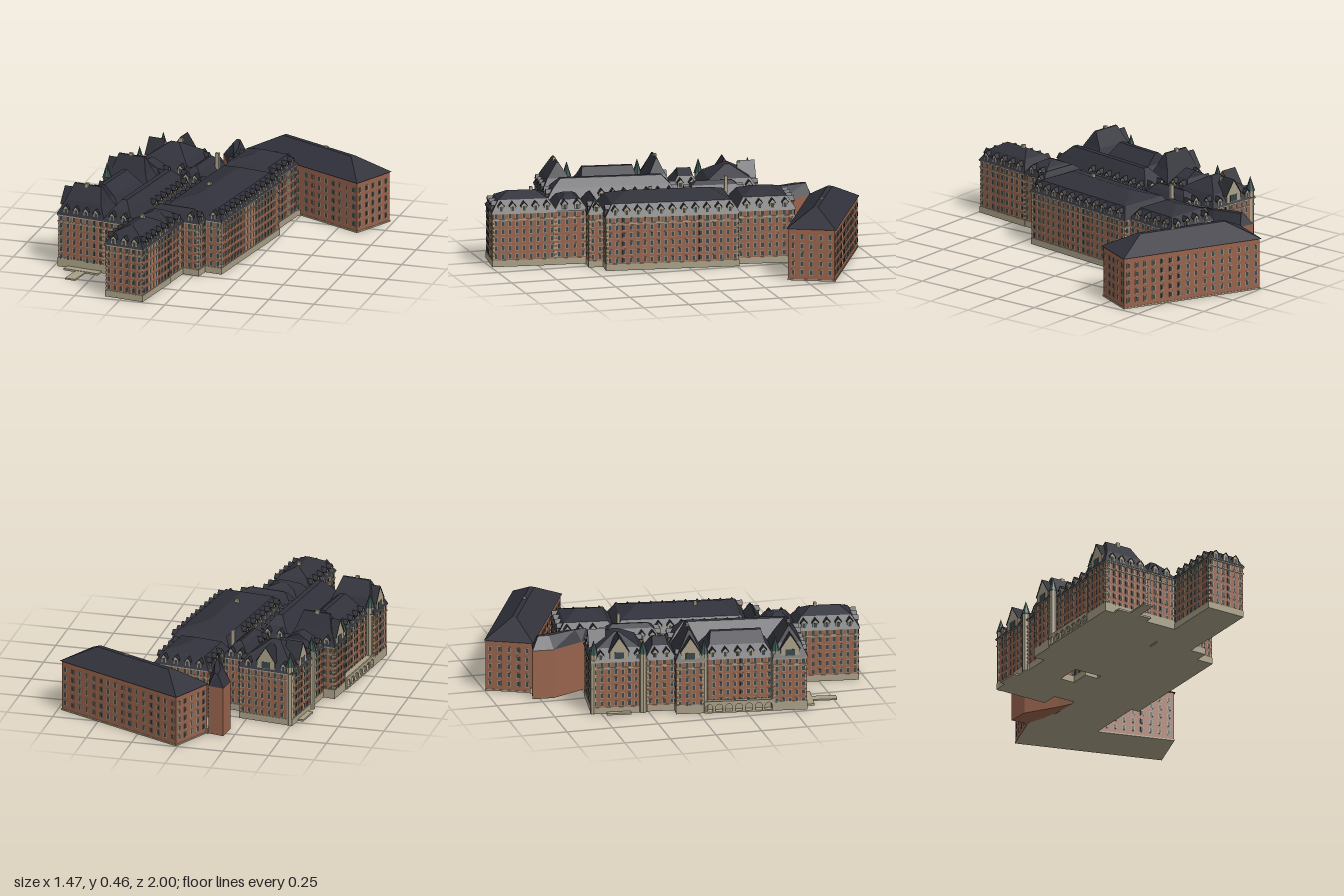
import * as THREE from 'three';
import { mergeGeometries } from 'three/addons/utils/BufferGeometryUtils.js';

const mat = (color) => new THREE.MeshStandardMaterial({ color, flatShading: true, side: THREE.DoubleSide });
const MATS = {
  walls: mat(0x97634c), stoneTrim: mat(0xa89f86), glass: mat(0x39464b), roof: mat(0x30313a),
  dormerBodies: mat(0x7c5340), dormerRoofs: mat(0x2a2b32), copper: mat(0x34504a),
};
const EAVE = 0.292;

// Collects geometries by material and merges each set into one named mesh.
class Parts {
  constructor() { this.sets = {}; }
  add(key, geo) {
    const g = geo.index ? geo.toNonIndexed() : geo;
    g.deleteAttribute('uv');
    (this.sets[key] ??= []).push(g);
  }
  build(name) {
    const group = new THREE.Group();
    group.name = name;
    for (const [key, list] of Object.entries(this.sets)) {
      const mesh = new THREE.Mesh(mergeGeometries(list), MATS[key]);
      mesh.name = key;
      group.add(mesh);
    }
    return group;
  }
}

const box = (x0, x1, y0, y1, z0, z1) =>
  new THREE.BoxGeometry(x1 - x0, y1 - y0, z1 - z0).translate((x0 + x1) / 2, (y0 + y1) / 2, (z0 + z1) / 2);

// Skin over rings of equal point count (anticlockwise from above), closed at both ends.
function loft(rings) {
  const pos = [], n = rings[0].length, top = rings.at(-1);
  const tri = (...pts) => pts.forEach((p) => pos.push(...p));
  for (let r = 0; r + 1 < rings.length; r++) {
    for (let i = 0; i < n; i++) {
      const j = (i + 1) % n, a = rings[r], b = rings[r + 1];
      tri(a[i], a[j], b[j]);
      tri(a[i], b[j], b[i]);
    }
  }
  for (let i = 1; i + 1 < n; i++) {
    tri(top[0], top[i], top[i + 1]);
    tri(rings[0][0], rings[0][i + 1], rings[0][i]);
  }
  const g = new THREE.BufferGeometry();
  g.setAttribute('position', new THREE.Float32BufferAttribute(pos, 3));
  g.computeVertexNormals();
  return g;
}

const rectRing = ([x0, x1, z0, z1], ix, iz, y) =>
  [[x0 + ix, y, z0 + iz], [x0 + ix, y, z1 - iz], [x1 - ix, y, z1 - iz], [x1 - ix, y, z0 + iz]];

// Extrudes an outline in the xy plane from z0 to z1.
function extrude(points, z0, z1) {
  const shape = new THREE.Shape(points.map((p) => new THREE.Vector2(...p)));
  return new THREE.ExtrudeGeometry(shape, { depth: z1 - z0, bevelEnabled: false }).translate(0, 0, z0);
}

// Gabled dormer facing +z, its front at z = 0.
function dormer(parts, place, s, y, w, h, peak, depth) {
  const k = w / 2, e = 0.005;
  const outline = [[-k, 0], [k, 0], [k, h], [0, peak], [-k, h]];
  const cover = [[-k - e, h - e], [0, peak - 0.001], [k + e, h - e], [k + e, h], [0, peak + e], [-k - e, h]];
  place('dormerBodies', extrude(outline, -depth, -0.002), s, y, 0);
  place('stoneTrim', extrude(outline, -0.002, 0.001), s, y, 0);
  place('dormerRoofs', extrude(cover, -depth, 0.004), s, y, 0);
  place('glass', box(-k * 0.5, k * 0.5, h * 0.25, h * 0.95, 0, 0.002), s, y, 0);
}

// One wing: walls, stone bands, windows on free sides, mansard roof and dormers.
function wing({ name, rect, top, ridge, base = 0.035, slope = [0.035, 0.355], plain = false, gables = [] }, others = []) {
  const parts = new Parts(), [x0, x1, z0, z1] = rect;
  const cx = (x0 + x1) / 2, cz = (z0 + z1) / 2, hx = (x1 - x0) / 2, hz = (z1 - z0) / 2;
  const eave = plain ? 0.28 : EAVE;
  const band = (y0, y1, o) => parts.add('stoneTrim', box(x0 - o, x1 + o, y0, y1, z0 - o, z1 + o));
  parts.add('walls', box(x0, x1, 0.001, eave, z0, z1));
  band(0, base, 0.003);
  if (!plain) {
    band(0.25, 0.256, 0.004);
    band(EAVE - 0.006, EAVE, 0.006);
  }
  const rings = [rectRing(rect, -0.008, -0.008, eave)];
  if (!plain) rings.push(rectRing(rect, slope[0], slope[0], slope[1]));
  rings.push(rectRing(rect, ridge[0], ridge[1], top));
  parts.add('roof', loft(rings));

  const rows = plain ? [0.045, 0.092, 0.14, 0.187, 0.235] : [0.055, 0.1, 0.145, 0.19, 0.232, 0.273];
  for (let side = 0; side < 4; side++) {
    const angle = side * Math.PI / 2, [hn, ht] = side % 2 ? [hx, hz] : [hz, hx];
    const place = (key, geo, s, y, d) =>
      parts.add(key, geo.translate(s, y, hn + d).rotateY(angle).translate(cx, 0, cz));
    const free = (s, d = 0.02) => {
      const p = new THREE.Vector3(s, 0, hn + d).applyAxisAngle(new THREE.Vector3(0, 1, 0), angle);
      const x = p.x + cx, z = p.z + cz;
      return !others.some(([a, b, c, e]) => x > a && x < b && z > c && z < e);
    };
    // windows with stone surrounds
    const cols = Math.max(1, Math.round(2 * ht / (plain ? 0.05 : 0.037)));
    for (let i = 0; i < cols; i++) {
      const s = -ht + (i + 0.5) * 2 * ht / cols;
      if (!free(s)) continue;
      for (const y of rows) {
        place('stoneTrim', box(-0.0095, 0.0095, -0.0145, 0.0145, -0.002, 0.002), s, y, 0);
        place('glass', box(-0.007, 0.007, -0.012, 0.012, -0.002, 0.003), s, y, 0);
      }
    }
    if (plain) continue;
    // corner stones
    for (const e of [-1, 1]) {
      if (!free(e * (ht - 0.004))) continue;
      for (let y = base + 0.012; y < 0.25; y += 0.022)
        place('stoneTrim', box(-0.005, 0.005, -0.005, 0.005, -0.002, 0.002), e * (ht - 0.005), y, 0);
    }
    // dormers, or a tall gable in the middle of the side
    const gable = gables.includes(side);
    const count = Math.max(1, Math.round((2 * ht - 0.03) / 0.062));
    for (let i = 0; i < count; i++) {
      const s = -ht + 0.015 + (i + 0.5) * (2 * ht - 0.03) / count;
      if (free(s) && !(gable && Math.abs(s) < 0.07)) dormer(parts, place, s, EAVE, 0.028, 0.036, 0.053, 0.045);
    }
    if (gable) dormer(parts, place, 0, EAVE, 0.1, 0.05, 0.128, 0.09);
  }
  return parts.build(name);
}

// Round corner turret with a copper cap.
function turret(parts, x, z) {
  parts.add('stoneTrim', new THREE.CylinderGeometry(0.02, 0.02, 0.33, 8).translate(x, 0.165, z));
  parts.add('copper', new THREE.ConeGeometry(0.025, 0.08, 8).translate(x, 0.37, z));
}

const WINGS = [
  { name: 'mainWing', rect: [-0.145, 0.196, -0.293, 0.416], top: 0.395, ridge: [0.165, 0.13] },
  { name: 'mainNorthWing', rect: [-0.15, 0.151, -0.6, -0.293], top: 0.39, ridge: [0.145, 0.11] },
  { name: 'southLink', rect: [-0.19, 0.1, 0.416, 0.494], top: 0.36, ridge: [0.05, 0.036], slope: [0.025, 0.345] },
  { name: 'southNeck', rect: [-0.2, 0.008, 0.494, 0.66], top: 0.365, ridge: [0.08, 0.06], slope: [0.03, 0.345] },
  { name: 'southWing', rect: [-0.203, 0.012, 0.66, 0.997], top: 0.388, ridge: [0.1, 0.09] },
  { name: 'eastCourtWing', rect: [-0.375, -0.205, -0.033, 0.668], top: 0.4, ridge: [0.07, 0.08], base: 0.05 },
  { name: 'westWing', rect: [-0.6, -0.375, 0.12, 0.49], top: 0.41, ridge: [0.1, 0.05], base: 0.05 },
  { name: 'frontPavilion', rect: [-0.64, -0.375, 0.49, 0.667], top: 0.45, ridge: [0.055, 0.083], base: 0.05, slope: [0.03, 0.37], gables: [3] },
  { name: 'middlePavilion', rect: [-0.635, -0.375, -0.027, 0.12], top: 0.45, ridge: [0.055, 0.068], base: 0.05, slope: [0.03, 0.37], gables: [3] },
  { name: 'northWestLink', rect: [-0.57, -0.375, -0.18, -0.027], top: 0.385, ridge: [0.09, 0.04] },
  { name: 'northWestWing', rect: [-0.58, -0.28, -0.474, -0.18], top: 0.415, ridge: [0.12, 0.135], gables: [2, 3] },
  { name: 'innerLink', rect: [-0.285, -0.15, -0.38, -0.07], top: 0.375, ridge: [0.062, 0.06] },
];

export function createModel() {
  const model = new THREE.Group();
  model.name = 'buildingComplex';

  // main complex, turned slightly on the site
  const complex = new THREE.Group();
  complex.name = 'mainComplex';
  complex.rotation.y = -0.14;
  model.add(complex);
  for (const w of WINGS) complex.add(wing(w, WINGS.filter((o) => o !== w).map((o) => o.rect)));

  // turrets and chimneys
  const extras = new Parts();
  for (const [x, z] of [[-0.617, 0.5], [-0.617, 0.122], [-0.565, -0.462], [-0.578, -0.2]]) turret(extras, x, z);
  for (const [x, z, y] of [[0, 0.15, 0.405], [-0.093, 0.777, 0.405], [-0.425, -0.39, 0.42], [-0.51, 0.045, 0.46], [-0.51, 0.585, 0.46], [-0.16, -0.28, 0.41]])
    extras.add('stoneTrim', box(x - 0.01, x + 0.01, 0.3, y, z - 0.008, z + 0.008));
  complex.add(extras.build('turretsAndChimneys'));

  // paved court, entrance steps and side landing
  const paving = new Parts();
  paving.add('stoneTrim', box(-0.21, -0.14, 0, 0.05, -0.07, 0.42));
  paving.add('stoneTrim', box(-0.587, -0.385, 0, 0.01, 0.66, 0.715));
  paving.add('stoneTrim', box(-0.515, -0.457, 0, 0.008, 0.71, 0.845));
  paving.add('stoneTrim', box(-0.612, -0.575, 0, 0.01, -0.395, -0.265));
  complex.add(paving.build('paving'));

  // terrace with an arcade along the west wing
  const arcade = new Parts(), len = 0.37, arches = 7;
  const front = new THREE.Shape([[0, 0], [len, 0], [len, 0.065], [0, 0.065]].map((p) => new THREE.Vector2(...p)));
  for (let i = 0; i < arches; i++) {
    const c = (i + 0.5) * len / arches, hole = new THREE.Path();
    hole.moveTo(c - 0.019, 0.008).lineTo(c + 0.019, 0.008).lineTo(c + 0.019, 0.03);
    hole.absarc(c, 0.03, 0.019, 0, Math.PI, false);
    hole.closePath();
    front.holes.push(hole);
  }
  arcade.add('stoneTrim', new THREE.ExtrudeGeometry(front, { depth: 0.008, bevelEnabled: false, curveSegments: 6 })
    .rotateY(-Math.PI / 2).translate(-0.637, 0, 0.12));
  arcade.add('stoneTrim', box(-0.64, -0.6, 0.052, 0.058, 0.12, 0.49));
  arcade.add('stoneTrim', box(-0.64, -0.6, 0, 0.006, 0.12, 0.49));
  complex.add(arcade.build('terraceArcade'));

  // plain hip-roofed block at the back, at its own angle
  const back = wing({ name: 'backBlock', rect: [-0.4, 0.4, -0.125, 0.125], top: 0.365, ridge: [0.15, 0.112], base: 0.008, plain: true });
  const chimney = new THREE.Mesh(box(0.045, 0.065, 0.35, 0.372, -0.08, -0.065).translate(0, 0, 0.07), MATS.stoneTrim);
  chimney.name = 'chimney';
  back.add(chimney);
  back.position.set(0.314, 0, -0.705);
  back.rotation.y = -0.453;
  model.add(back);

  // angular link joining the back block to the complex
  const link = new Parts();
  const plan = [[-0.196, -0.79], [-0.206, -0.677], [-0.12, -0.5], [-0.09, -0.42], [-0.075, -0.6], [-0.11, -0.77]];
  const spine = [[-0.155, -0.75], [-0.155, -0.69], [-0.1, -0.53], [-0.09, -0.47], [-0.1, -0.6], [-0.135, -0.75]];
  const ring = (pts, y) => pts.map(([x, z]) => [x, y, z]);
  link.add('walls', loft([ring(plan, 0), ring(plan, 0.27)]));
  link.add('roof', loft([ring(plan, 0.27), ring(spine, 0.335)]));
  const yard = [[-0.11, -0.78], [-0.08, -0.58], [0.23, -0.57], [0.25, -0.6]];
  link.add('stoneTrim', loft([ring(yard, 0), ring(yard, 0.03)]));
  model.add(link.build('backLink'));

  return model;
}
